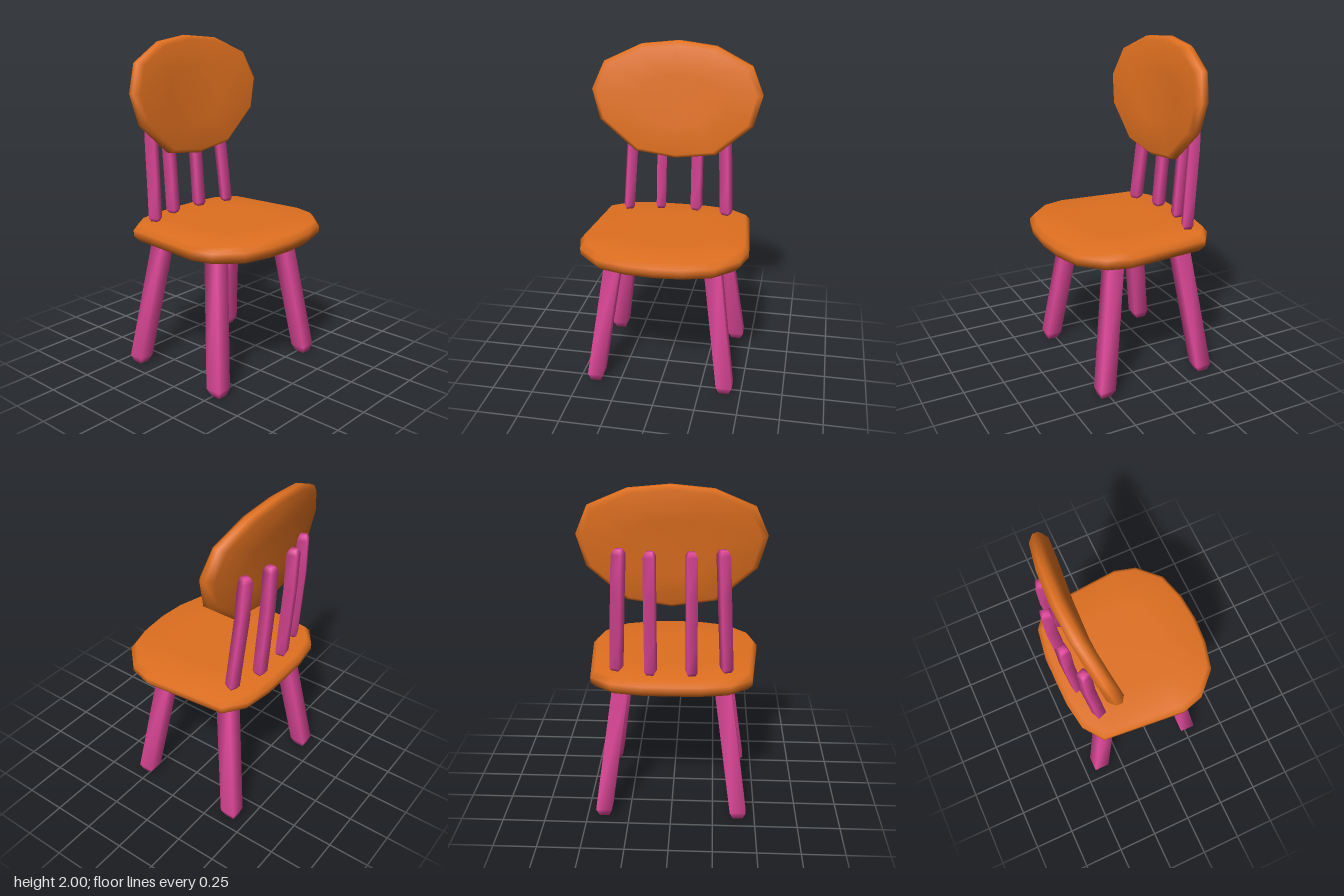
import * as THREE from 'three';

const orange = new THREE.MeshStandardMaterial({ color: 0xe07020 });
const pink = new THREE.MeshStandardMaterial({ color: 0xe0489a });

// Smooth solid through a stack of rings, closed by a centre point at each end
function loft(name, rings, material) {
  const n = rings[0].length, pos = [], index = [];
  const mean = (ring) => [0, 1, 2].map((k) => ring.reduce((s, p) => s + p[k], 0) / n);
  rings.forEach((ring) => ring.forEach((p) => pos.push(...p)));
  const last = rings.length - 1, c0 = rings.length * n, c1 = c0 + 1;
  pos.push(...mean(rings[0]), ...mean(rings[last]));
  for (let i = 0; i < n; i++) {
    const j = (i + 1) % n;
    for (let r = 0; r < last; r++) {
      const a = r * n, b = a + n;
      index.push(a + i, a + j, b + j, a + i, b + j, b + i);
    }
    index.push(c0, j, i, c1, last * n + i, last * n + j);
  }
  const geo = new THREE.BufferGeometry();
  geo.setAttribute('position', new THREE.Float32BufferAttribute(pos, 3));
  geo.setIndex(index);
  geo.computeVertexNormals();
  const mesh = new THREE.Mesh(geo, material);
  mesh.name = name;
  return mesh;
}

// Completes a half outline whose first and last points lie on x = 0
const mirrored = (half) => [...half, ...half.slice(1, -1).reverse().map(([x, v]) => [-x, v])];

// Square bar through [x, y, z, halfWidth] stations, bottom to top, turned by yaw
function bar(name, stations, yaw) {
  const c = Math.cos(yaw), s = Math.sin(yaw);
  const corners = [[1, 1], [1, -1], [-1, -1], [-1, 1]];
  const rings = stations.map(([x, y, z, h]) =>
    corners.map(([u, v]) => [x + h * (u * c - v * s), y, z + h * (u * s + v * c)]));
  return loft(name, rings, pink);
}

export function createModel() {
  const chair = new THREE.Group();
  chair.name = 'chair';

  // Seat: faceted slab with bevelled rim
  const seat = mirrored([[0, 0.475], [0.17, 0.462], [0.34, 0.415], [0.47, 0.285], [0.508, 0.15],
    [0.462, -0.355], [0.34, -0.445], [0.17, -0.472], [0, -0.475]]);
  const seatRings = [[0.5, 0.82], [0.945, 0.82], [1, 0.853], [1, 0.887], [0.945, 0.92], [0.5, 0.92]];
  chair.add(loft('seat', seatRings.map(([k, y]) => seat.map(([x, z]) => [x * k, y, z * k])), orange));

  // Backrest: oval panel, leaning back and wrapping forward at the ends
  const oval = mirrored([[0, 1.3], [0.25, 1.335], [0.47, 1.525], [0.52, 1.71],
    [0.45, 1.873], [0.23, 1.975], [0, 2]]);
  const midY = 1.66;
  const ovalRings = [[0.45, -0.045], [0.93, -0.045], [1, -0.015], [1, 0.015], [0.93, 0.045], [0.45, 0.045]];
  chair.add(loft('backrest', ovalRings.map(([k, depth]) => oval.map(([px, py]) => {
    const x = px * k, y = midY + (py - midY) * k;
    return [x, y, -0.27 - 0.135 * (y - 1.3) + 0.19 * x * x + depth];
  })), orange));

  // Splayed legs with rounded feet
  for (const side of [1, -1]) {
    for (const [name, zFoot, zTop] of [['frontLeg', 0.272, 0.15], ['backLeg', -0.395, -0.27]]) {
      chair.add(bar(name, [
        [side * 0.4, 0, zFoot, 0.03],
        [side * 0.4, 0.045, zFoot - (zFoot - zTop) * 0.05, 0.048],
        [side * 0.288, 0.86, zTop, 0.048],
      ], 0));
    }
  }

  // Gently bent spindles: bottom x, top x, bottom z, top z, yaw
  const spindles = [['innerSpindle', 0.115, 0.112, -0.372, -0.415, 0.17],
    ['outerSpindle', 0.315, 0.28, -0.32, -0.372, 0.38]];
  for (const side of [1, -1]) {
    for (const [name, x0, x1, z0, z1, yaw] of spindles) {
      const profile = [[0.92, 0, 0.02], [0.94, 0.04, 0.03], [1.15, 0.4, 0.03],
        [1.4, 0.85, 0.03], [1.625, 1, 0.03], [1.652, 1, 0.019]];
      chair.add(bar(name, profile.map(([y, bend, h]) => [
        side * (x0 + (x1 - x0) * (y - 0.92) / 0.73), y, z0 + (z1 - z0) * bend, h,
      ]), side * yaw));
    }
  }
  return chair;
}
